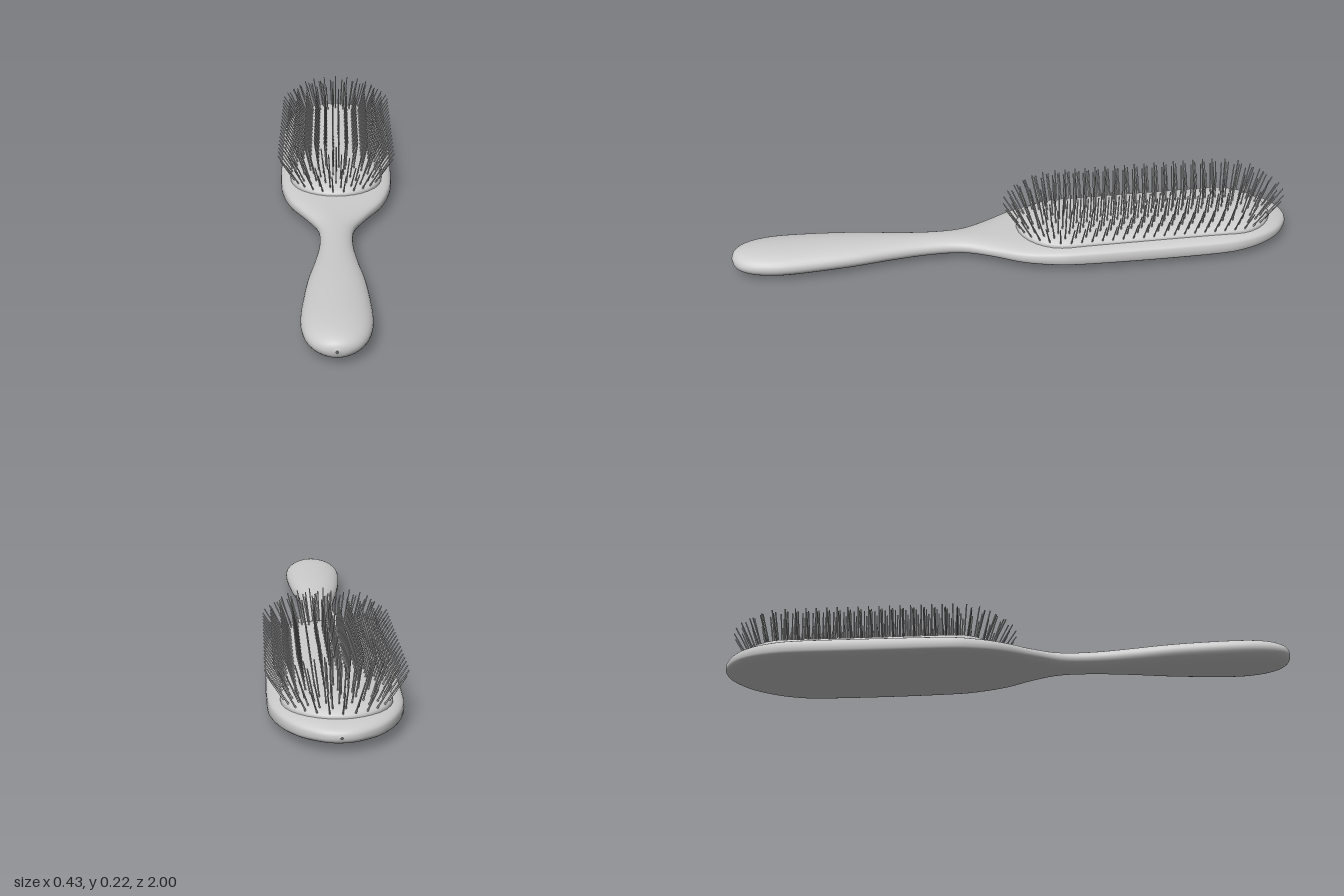
import * as THREE from 'three';
import { mergeGeometries } from 'three/addons/utils/BufferGeometryUtils.js';

const material = new THREE.MeshStandardMaterial({ color: 0xcccccc, roughness: 0.7 });

// Skin a list of closed rings (arrays of Vector3) with a smooth surface.
function loft(rings) {
  const n = rings[0].length, index = [];
  for (let i = 0; i < rings.length - 1; i++) {
    for (let j = 0; j < n; j++) {
      const a = i * n + j, b = i * n + (j + 1) % n;
      index.push(a, b, b + n, a, b + n, a + n);
    }
  }
  const geometry = new THREE.BufferGeometry().setFromPoints(rings.flat());
  geometry.setIndex(index);
  geometry.computeVertexNormals();
  return geometry;
}

// Wooden body: z, half width, bottom, top, squareness of the section
const sections = [
  [1, 0.004, 0.046, 0.054, 2], [0.99, 0.04, 0.026, 0.074, 2], [0.96, 0.075, 0.012, 0.087, 2],
  [0.9, 0.1, 0.004, 0.094, 2.1], [0.8, 0.109, 0, 0.096, 2.1], [0.6, 0.094, 0.004, 0.093, 2.1],
  [0.45, 0.07, 0.009, 0.087, 2.1], [0.32, 0.056, 0.013, 0.081, 2.1], [0.2, 0.063, 0.015, 0.078, 2.2],
  [0.1, 0.108, 0.016, 0.078, 2.5], [0, 0.163, 0.014, 0.081, 3], [-0.1, 0.193, 0.012, 0.085, 3.4],
  [-0.2, 0.205, 0.01, 0.088, 3.6], [-0.45, 0.209, 0.007, 0.089, 3.6], [-0.7, 0.208, 0.008, 0.089, 3.6],
  [-0.8, 0.195, 0.011, 0.088, 3.5], [-0.88, 0.165, 0.016, 0.086, 3.3], [-0.94, 0.123, 0.021, 0.081, 3],
  [-0.98, 0.07, 0.028, 0.073, 2.6], [-0.995, 0.035, 0.036, 0.064, 2.3], [-1, 0.004, 0.047, 0.053, 2],
];

function bodyGeometry() {
  const spline = pick => new THREE.CatmullRomCurve3(
    sections.map(s => new THREE.Vector3(...pick(s))), false, 'catmullrom', 0.5);
  const widths = spline(s => [s[0], s[1], s[4]]);
  const heights = spline(s => [s[0], s[2], s[3]]);
  const power = (v, e) => Math.sign(v) * Math.abs(v) ** e;
  const rings = [], steps = 80, around = 40;
  for (let i = 0; i <= steps; i++) {
    const { x: z, y: w, z: n } = widths.getPoint(i / steps);
    const { y: bottom, z: top } = heights.getPoint(i / steps);
    const ring = [];
    for (let j = 0; j < around; j++) {
      const a = -j / around * Math.PI * 2;
      ring.push(new THREE.Vector3(
        w * power(Math.cos(a), 2 / n),
        (top + bottom) / 2 + (top - bottom) / 2 * power(Math.sin(a), 2 / n), z));
    }
    rings.push(ring);
  }
  return loft(rings);
}

// Point on a stadium outline of radius r, with its outward direction, t in 0..1
const zFront = -0.17, zBack = -0.765;
function stadium(r, t) {
  const side = zFront - zBack, arc = Math.PI * r, length = 2 * (side + arc);
  let d = t * length, angle, z;
  if (d < arc) { angle = d / Math.max(r, 1e-6); z = zFront; }
  else if ((d -= arc) < side) { angle = Math.PI; z = zFront - d; }
  else if ((d -= side) < arc) { angle = Math.PI + d / Math.max(r, 1e-6); z = zBack; }
  else { angle = 0; z = zBack + d - arc; }
  const out = new THREE.Vector3(Math.cos(angle), 0, Math.sin(angle));
  return { out, point: new THREE.Vector3(0, 0, z).addScaledVector(out, r), length };
}

// Domed cushion
const cushionY = r => 0.085 + 0.038 * Math.sqrt(Math.max(0, 1 - (r / 0.168) ** 2));
function cushionGeometry() {
  const profile = [[0.168, 0.07]];
  for (let i = 0; i <= 10; i++) {
    const r = 0.168 * Math.cos(i / 10 * Math.PI / 2);
    profile.push([r, cushionY(r)]);
  }
  const half = 16, straight = 14;
  return loft(profile.map(([r, y]) => {
    const ring = [];
    const add = (angle, z) => ring.push(
      new THREE.Vector3(r * Math.cos(angle), y, z + r * Math.sin(angle)));
    for (let i = 0; i <= half; i++) add(i / half * Math.PI, zFront);
    for (let i = 1; i < straight; i++) add(Math.PI, zFront + (zBack - zFront) * i / straight);
    for (let i = 0; i <= half; i++) add(Math.PI + i / half * Math.PI, zBack);
    for (let i = 1; i < straight; i++) add(0, zBack + (zFront - zBack) * i / straight);
    return ring.reverse();
  }));
}

// One thin pin between two points
function pin(from, to) {
  const along = to.clone().sub(from);
  const geometry = new THREE.CylinderGeometry(0.0022, 0.0028, along.length(), 6);
  const turn = new THREE.Quaternion().setFromUnitVectors(
    new THREE.Vector3(0, 1, 0), along.normalize());
  return geometry.applyQuaternion(turn).translate(...from.clone().add(to).multiplyScalar(0.5));
}

// Bristles in concentric rows: row radius, outward lean, tip height
const rows = [
  [0.158, 0.055, 0.176], [0.14, 0.048, 0.193], [0.118, 0.038, 0.22], [0.092, 0.026, 0.22],
  [0.064, 0.016, 0.22], [0.036, 0.008, 0.22], [0.01, 0.002, 0.22],
];
function bristleGeometry() {
  const pins = [];
  rows.forEach(([r, lean, tipY], row) => {
    const count = Math.round(stadium(r, 0).length / 0.037);
    for (let i = 0; i < count; i++) {
      const { out, point } = stadium(r, (i + (row % 2) / 2) / count);
      const base = point.clone().setY(cushionY(r) - 0.008);
      pins.push(pin(base, point.clone().addScaledVector(out, lean).setY(tipY)));
    }
  });
  return mergeGeometries(pins);
}

export function createModel() {
  const group = new THREE.Group();
  group.name = 'hairbrush';
  const parts = {
    handleAndHead: bodyGeometry(),
    cushion: cushionGeometry(),
    bristles: bristleGeometry(),
  };
  for (const [name, geometry] of Object.entries(parts)) {
    const mesh = new THREE.Mesh(geometry, material);
    mesh.name = name;
    group.add(mesh);
  }
  return group;
}
